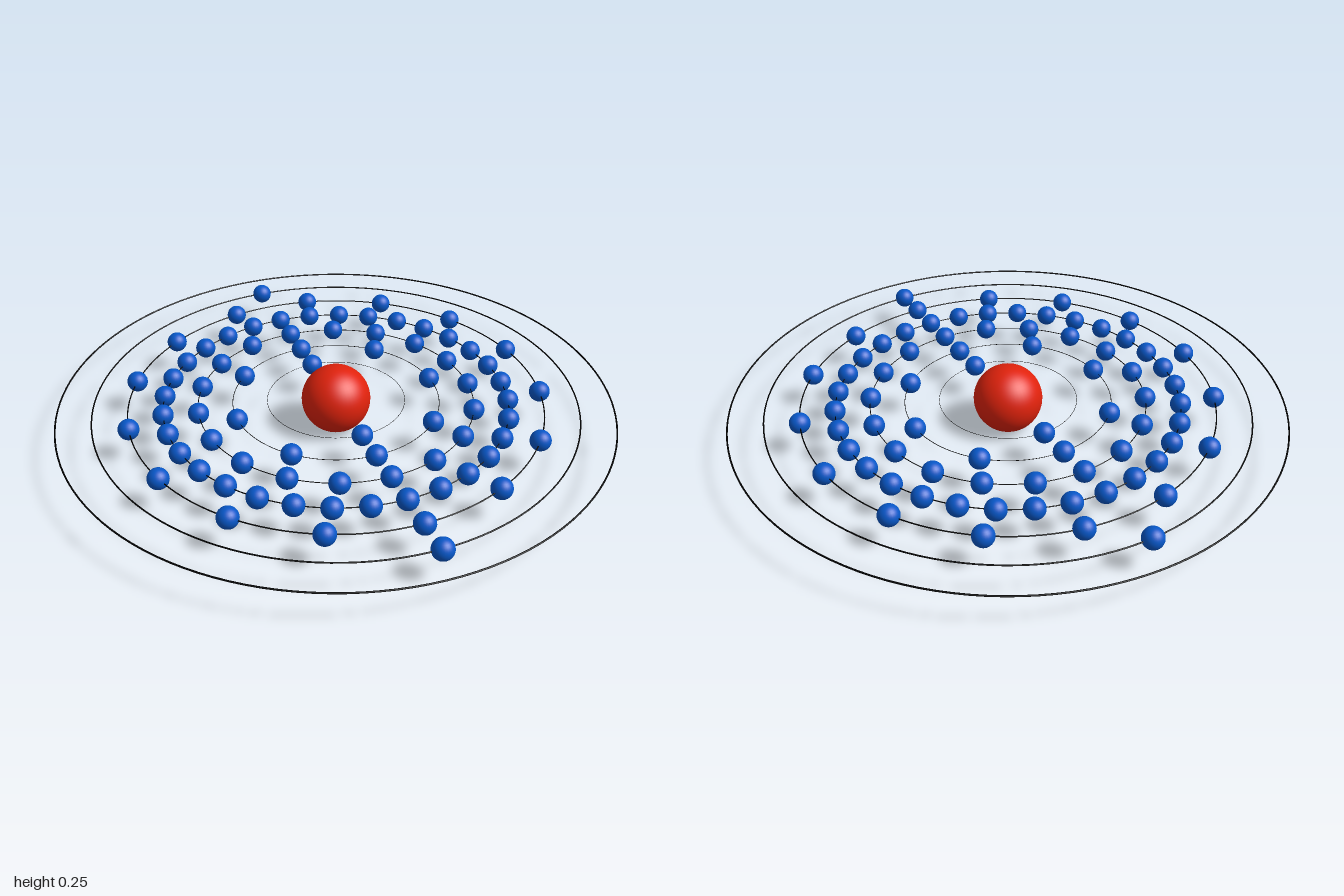
import * as THREE from 'three';

const CENTRE_Y = 0.125;
const SHELL_STEP = 0.1243;
const ELECTRONS_PER_SHELL = [2, 8, 18, 32, 15, 2, 0];

export function createModel() {
  const model = new THREE.Group();
  model.name = 'atom';

  const red = new THREE.MeshStandardMaterial({ color: 0xe0220c });
  const blue = new THREE.MeshStandardMaterial({ color: 0x0757c8 });
  const black = new THREE.MeshStandardMaterial({ color: 0x000000 });

  // Central nucleus
  const nucleus = new THREE.Mesh(new THREE.SphereGeometry(0.1245, 48, 32), red);
  nucleus.name = 'nucleus';
  nucleus.position.y = CENTRE_Y;
  model.add(nucleus);

  // Flat concentric shells: a thin orbit ring with evenly spaced electrons
  const electronGeometry = new THREE.SphereGeometry(0.0375, 24, 16);
  ELECTRONS_PER_SHELL.forEach((count, i) => {
    const radius = SHELL_STEP * (i + 2);
    const shell = new THREE.Group();
    shell.name = `shell${i + 1}`;
    shell.position.y = CENTRE_Y;

    // Orbit ring, its thickness growing with its radius
    const tube = 0.003 * radius;
    const ringGeometry = new THREE.TorusGeometry(radius, tube, 8, 128);
    ringGeometry.rotateX(Math.PI / 2);
    const ring = new THREE.Mesh(ringGeometry, black);
    ring.name = 'orbitRing';
    shell.add(ring);

    // Electrons, counted round from the front
    for (let k = 0; k < count; k++) {
      const angle = (k / count) * Math.PI * 2;
      const electron = new THREE.Mesh(electronGeometry, blue);
      electron.name = 'electron';
      electron.position.set(radius * Math.sin(angle), 0, radius * Math.cos(angle));
      shell.add(electron);
    }
    model.add(shell);
  });

  return model;
}
